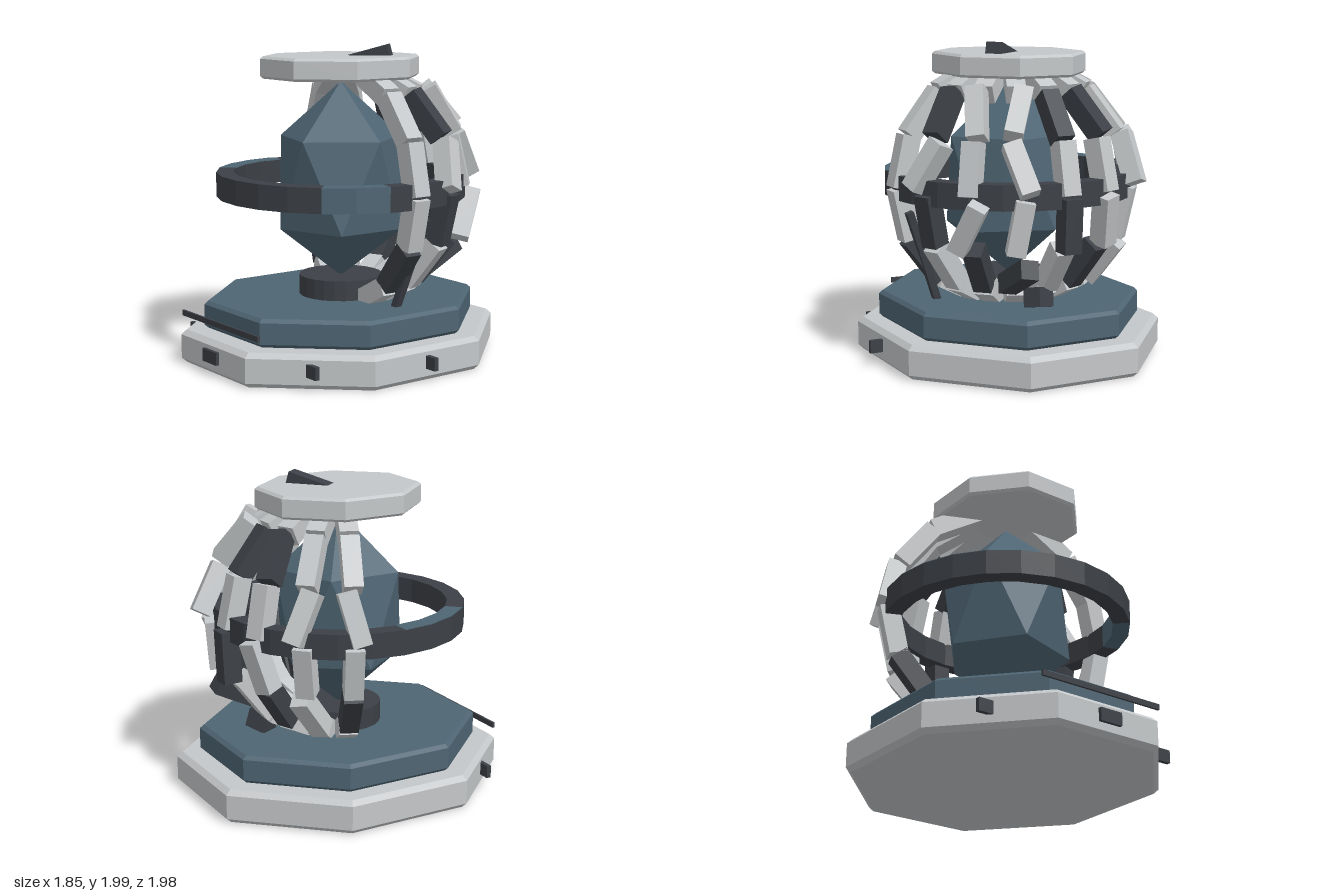
import * as THREE from 'three';

const rad = THREE.MathUtils.degToRad;
const CX = -0.045, CZ = -0.012; // shared axis of the stacked parts

function makeMaterial(name, color) {
  const m = new THREE.MeshStandardMaterial({ color, flatShading: true });
  m.name = name;
  return m;
}

export function createModel() {
  const paleGrey = makeMaterial('pale grey', 0xc4c7c9);
  const slateBlue = makeMaterial('slate blue', 0x4e6573);
  const charcoal = makeMaterial('charcoal', 0x3c4046);
  const model = new THREE.Group();
  model.name = 'cagedCrystal';

  function add(name, geometry, material, x, y, z, parent = model) {
    const mesh = new THREE.Mesh(geometry, material);
    mesh.name = name;
    mesh.position.set(x, y, z);
    parent.add(mesh);
    return mesh;
  }
  const box = (name, mat, size, pos, parent) =>
    add(name, new THREE.BoxGeometry(...size), mat, ...pos, parent);

  // Bevelled octagonal slab, given its half extents in x and z
  function slab(name, mat, halfX, halfZ, y0, y1, bevel) {
    const c = Math.cos(Math.PI / 8), b = bevel / halfX;
    const pts = [[0, y0], [1 - b, y0], [1, y0 + bevel], [1, y1 - bevel], [1 - b, y1], [0, y1]]
      .map(([r, y]) => new THREE.Vector2(r / c, y));
    const geo = new THREE.LatheGeometry(pts, 8, Math.PI / 8).scale(halfX, 1, halfZ);
    add(name, geo, mat, CX, 0, CZ);
  }
  slab('base', paleGrey, 0.885, 0.98, 0, 0.212, 0.03);
  slab('upperStep', slateBlue, 0.76, 0.84, 0.212, 0.388, 0.022);
  slab('topCap', paleGrey, 0.44, 0.49, 1.78, 1.92, 0.016);

  add('pedestal', new THREE.CylinderGeometry(0.268, 0.268, 0.14, 24), charcoal, CX, 0.445, CZ);

  // Crystal: pole-up stretched twenty-sided solid made of two cones and a zigzag belt
  const ring = (y, offset) => Array.from({ length: 5 }, (_, i) => {
    const a = rad(offset + i * 72);
    return [0.405 * Math.cos(a), y, -0.405 * Math.sin(a)];
  });
  const up = ring(1.4, 0), low = ring(0.825, 36), tris = [];
  for (let i = 0; i < 5; i++) {
    const j = (i + 1) % 5;
    tris.push(up[i], up[j], [0, 1.755, 0], low[i], up[j], up[i],
      low[i], low[j], up[j], low[j], low[i], [0, 0.5, 0]);
  }
  const crystal = new THREE.BufferGeometry();
  crystal.setAttribute('position', new THREE.Float32BufferAttribute(tris.flat(), 3));
  crystal.computeVertexNormals();
  add('crystal', crystal, slateBlue, CX, 0, CZ);

  // Horizontal ring around the cage, in arcs of two colours
  function ringArc(mat, start, length, y0 = 1.03, y1 = 1.185) {
    const pts = [[0.685, y0], [0.795, y0], [0.795, y1], [0.685, y1], [0.685, y0]]
      .map(([r, y]) => new THREE.Vector2(r, y));
    const geo = new THREE.LatheGeometry(pts, length / 15, rad(start), rad(length));
    add('ringArc', geo, mat, CX, 0, CZ);
  }
  ringArc(charcoal, 75, 330);
  ringArc(slateBlue, 45, 30);
  ringArc(slateBlue, -90, 45, 1.183, 1.188);

  // Cage: eight ribs over the back half, each a chain of six blocks
  const dark = new Set(['0:1', '1:2', '2:1', '3:1', '4:4', '5:4', '4:2', '5:1', '7:1', '1:4']);
  // Loosened blocks: rib:segment -> [push out, twist, lean]
  const loose = {
    '1:3': [0.03, -25, 6], '2:2': [0.07, -28, 0], '3:3': [0.08, 18, 14], '2:4': [0.05, 10, -8],
    '1:4': [0.02, 6, 0], '3:1': [0.07, -20, -24], '3:4': [0.06, -14, 0], '5:2': [0.03, 12, 0],
    '6:3': [0.05, -16, 8], '7:3': [0.02, 15, 0], '4:2': [0.05, 0, 10], '6:1': [0.03, 14, 0],
    '5:4': [0.02, 10, 0], '3:2': [0.05, -10, 8],
  };
  for (let r = 0; r < 8; r++) {
    const rib = new THREE.Group();
    rib.name = 'rib';
    rib.position.set(CX, 1.1, CZ);
    rib.rotation.y = rad(r * 22.5);
    model.add(rib);
    for (let s = 0; s < 6; s++) {
      const key = `${r}:${s}`, phi = (s - 2.5) * 25;
      const [push, twist, lean] = loose[key] || [0, 0, 0];
      const d = 0.745 + push;
      const block = box('ribBlock', dark.has(key) ? charcoal : paleGrey, [0.12, 0.33, 0.115],
        [d * Math.cos(rad(phi)), d * Math.sin(rad(phi)), 0], rib);
      block.rotation.set(rad(twist), 0, rad(phi + lean), 'ZXY');
    }
  }

  // Clips and trim bar around the base
  box('frontClip', charcoal, [0.155, 0.08, 0.04], [CX, 0.118, 0.97]);
  box('sideClip', charcoal, [0.1, 0.08, 0.03], [0.872, 0.118, -0.005]);
  for (const x of [-0.705, 0.613]) box('cornerClip', charcoal, [0.097, 0.08, 0.03], [x, 0.118, 0.685]);
  box('frontBar', charcoal, [0.865, 0.035, 0.015], [CX, 0.303, 0.912]);

  // Loose fragments: shard on the cap, leaning rod and a fallen block
  const shard = box('capShard', charcoal, [0.36, 0.08, 0.105], [0.045, 1.905, -0.12]);
  shard.rotation.set(0, rad(41), rad(15.5), 'YZX');
  const from = new THREE.Vector3(0.48, 0.38, -0.045), to = new THREE.Vector3(0.69, 0.96, -0.105);
  const rod = box('leaningRod', charcoal, [0.045, from.distanceTo(to), 0.045],
    from.clone().lerp(to, 0.5).toArray());
  rod.quaternion.setFromUnitVectors(new THREE.Vector3(0, 1, 0), to.clone().sub(from).normalize());
  box('fallenBlock', charcoal, [0.15, 0.12, 0.12], [0.02, 0.445, -0.53]).rotation.set(0.2, 0.5, 0.1);

  return model;
}
